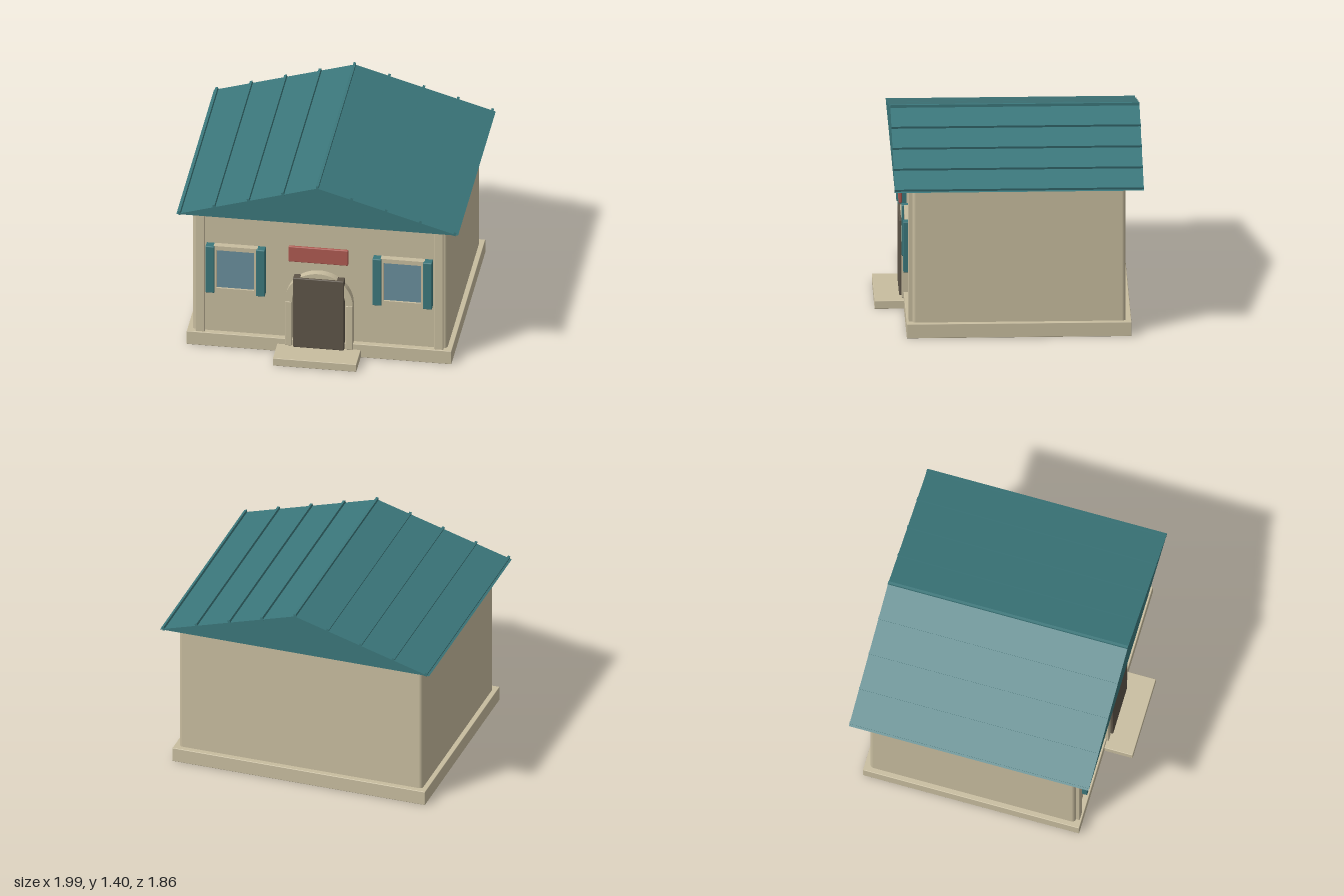
import * as THREE from 'three';
import { RoundedBoxGeometry } from 'three/addons/geometries/RoundedBoxGeometry.js';

const paint = (name, color) => {
  const m = new THREE.MeshStandardMaterial({ color });
  m.name = name;
  return m;
};

export function createModel() {
  const stucco = paint('sand stucco', 0xc8bd9f);
  const teal = paint('teal metal', 0x3b777b);
  const wood = paint('dark wood', 0x5e5548);
  const red = paint('sign red', 0xae5a51);
  const blue = paint('window blue', 0x6a8e9c);

  const house = new THREE.Group();
  house.name = 'house';

  const add = (name, geometry, material, parent = house) => {
    const mesh = new THREE.Mesh(geometry, material);
    mesh.name = name;
    parent.add(mesh);
    return mesh;
  };
  // Box given by its limits on each axis; r rounds the edges
  const block = (name, mat, [x0, x1], [y0, y1], [z0, z1], r = 0, parent = house) => {
    const size = [x1 - x0, y1 - y0, z1 - z0];
    const geo = r ? new RoundedBoxGeometry(...size, 2, r) : new THREE.BoxGeometry(...size);
    const mesh = add(name, geo, mat, parent);
    mesh.position.set((x0 + x1) / 2, (y0 + y1) / 2, (z0 + z1) / 2);
    return mesh;
  };
  const extrude = (shape, depth, z) =>
    new THREE.ExtrudeGeometry(shape, { depth, bevelEnabled: false, curveSegments: 24 }).translate(0, 0, z);

  // Body and ground works
  block('plinth', stucco, [-0.935, 0.935], [0, 0.105], [-0.845, 0.725], 0.004);
  block('walls', stucco, [-0.9, 0.9], [0.06, 1.09], [-0.805, 0.685], 0.025);
  block('doorStep', stucco, [-0.295, 0.295], [0, 0.06], [0.7, 0.93], 0.004);

  // Solid gable roof
  const gable = new THREE.Shape();
  gable.moveTo(-0.995, 1.095);
  gable.lineTo(0.995, 1.095);
  gable.lineTo(0, 1.388);
  add('roof', extrude(gable, 1.74, -0.93), teal);

  // Standing seams on both slopes, and one on the ridge
  const slope = Math.atan2(0.293, 0.995);
  for (let i = -4; i <= 4; i++) {
    const x = i * 0.243;
    const seam = add('roofSeam', new THREE.BoxGeometry(0.018, 0.028, 1.742), teal);
    seam.position.set(x, 1.388 - Math.abs(x) * 0.2945 + 0.003, -0.06);
    seam.rotation.z = -Math.sign(i) * slope;
  }

  // Door with its arched surround
  block('door', wood, [-0.18, 0.18], [0.06, 0.617], [0.69, 0.755], 0.006);
  const arch = new THREE.Shape();
  arch.absarc(0, 0.415, 0.24, 0, Math.PI, false);
  arch.absarc(0, 0.415, 0.19, Math.PI, 0, true);
  add('doorArch', extrude(arch, 0.065, 0.675), stucco);

  // Sign board above the door
  block('signBoard', red, [-0.21, 0.21], [0.75, 0.872], [0.737, 0.759], 0.006);

  for (const s of [-1, 1]) {
    // Limits mirrored to the chosen side
    const side = (a, b) => (s > 0 ? [a, b] : [-b, -a]);
    block('cornerPilaster', stucco, side(0.81, 0.875), [0.1, 1.095], [0.65, 0.712], 0.006);
    block('doorPost', stucco, side(0.19, 0.24), [0.06, 0.415], [0.675, 0.74], 0.006);

    const win = new THREE.Group();
    win.name = s > 0 ? 'leftWindow' : 'rightWindow';
    house.add(win);
    for (const [a, b] of [[0.435, 0.457], [0.723, 0.745]])
      block('frameUpright', stucco, side(a, b), [0.44, 0.813], [0.67, 0.73], 0, win);
    for (const y of [[0.44, 0.475], [0.78, 0.813]])
      block('frameRail', stucco, side(0.457, 0.723), y, [0.67, 0.73], 0, win);
    block('glass', blue, side(0.457, 0.723), [0.475, 0.78], [0.67, 0.715], 0, win);
    for (const [a, b] of [[0.38, 0.443], [0.737, 0.8]])
      block('shutter', teal, side(a, b), [0.44, 0.813], [0.68, 0.745], 0.006, win);
  }
  return house;
}
